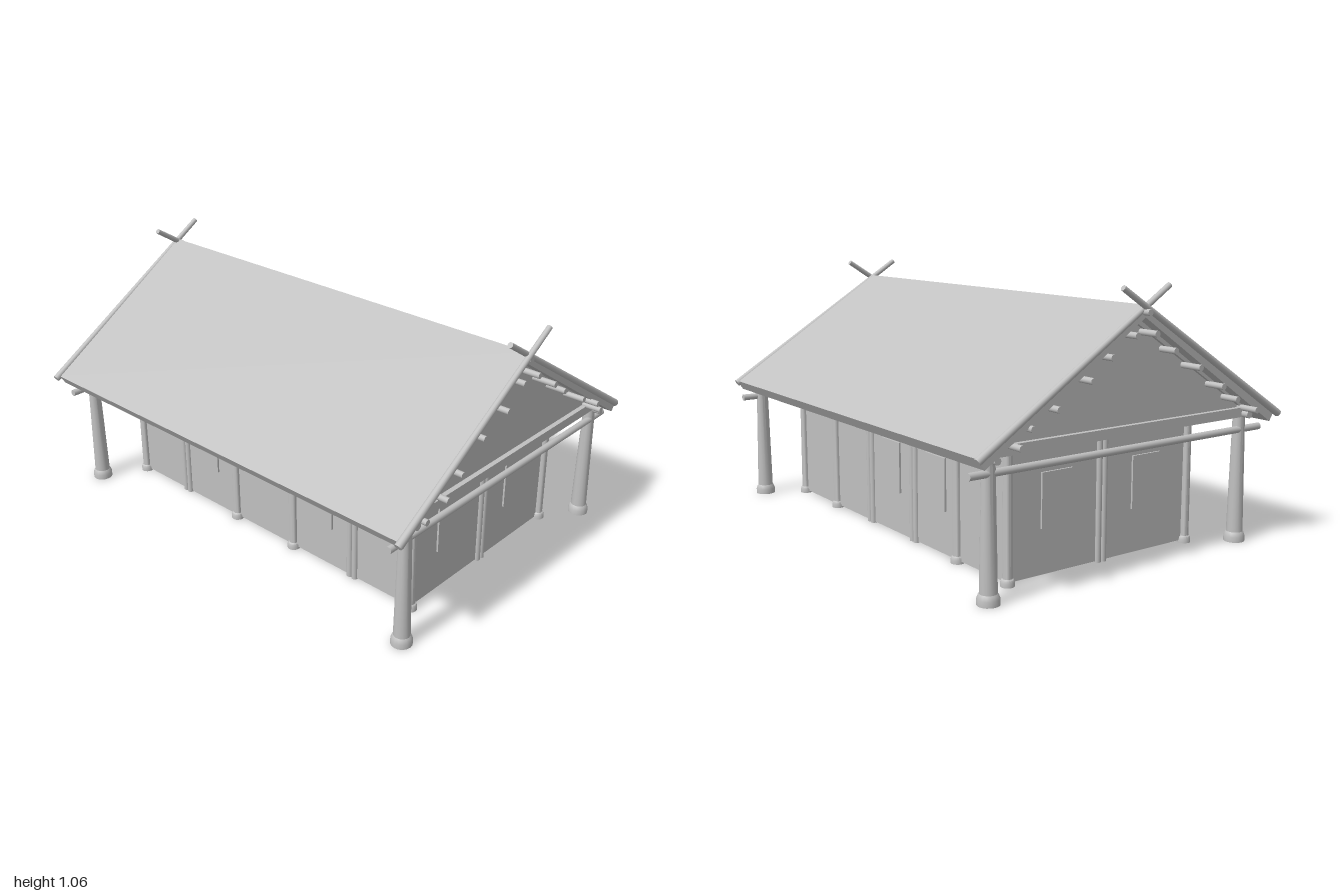
import * as THREE from 'three';
import { toCreasedNormals } from 'three/addons/utils/BufferGeometryUtils.js';

export function createModel() {
  const group = new THREE.Group();
  const clay = new THREE.MeshStandardMaterial({ color: 0xc0c0c0 });
  clay.name = 'plain grey';

  const add = (name, geometry, x = 0, y = 0, z = 0) => {
    const mesh = new THREE.Mesh(geometry, clay);
    mesh.name = name;
    mesh.position.set(x, y, z);
    group.add(mesh);
    return mesh;
  };

  // Round pole between two points
  const pole = (name, a, b, r, r2 = r) => {
    const from = new THREE.Vector3(...a), to = new THREE.Vector3(...b);
    const dir = to.clone().sub(from);
    const mesh = add(name, new THREE.CylinderGeometry(r2, r, dir.length(), 14));
    mesh.position.copy(from).add(to).multiplyScalar(0.5);
    mesh.quaternion.setFromUnitVectors(new THREE.Vector3(0, 1, 0), dir.normalize());
    return mesh;
  };

  // Cross-section given as [z, y] points, extruded along x
  const prism = (name, points, length, x = 0) => {
    const shape = new THREE.Shape(points.map(([z, y]) => new THREE.Vector2(z, y)));
    const g = new THREE.ExtrudeGeometry(shape, { depth: length, bevelEnabled: false });
    g.translate(0, 0, -length / 2).rotateY(-Math.PI / 2);
    return add(name, g, x);
  };

  // Turned post with a stepped foot
  const post = (name, x, z, height, top, shaft, foot, footHeight) => {
    const profile = [[0, 0], [foot, 0], [foot, footHeight * 0.6], [foot * 0.88, footHeight],
      [shaft, footHeight * 1.15], [top, height], [0, height]];
    const g = new THREE.LatheGeometry(profile.map(([r, y]) => new THREE.Vector2(r, y)), 16);
    add(name, toCreasedNormals(g, 0.6), x, 0, z);
  };

  // Hollow walls, open underneath
  const front = 0.41, back = -0.475, halfX = 0.79, t = 0.03, wallTop = 0.66;
  const midZ = (front + back) / 2, wallY = (wallTop + 0.01) / 2;
  for (const z of [front - t / 2, back + t / 2]) {
    add('longWall', new THREE.BoxGeometry(halfX * 2, wallTop - 0.01, t), 0, wallY, z);
  }
  for (const s of [-1, 1]) {
    add('endWall', new THREE.BoxGeometry(t, wallTop - 0.01, front - back - 2 * t),
      s * (halfX - t / 2), wallY, midZ);
  }

  // Window panels
  const paneT = 0.008;
  for (const x of [-0.35, 0.32]) {
    add('frontWindow', new THREE.BoxGeometry(0.14, 0.21, paneT), x, 0.287, front + paneT / 2);
  }
  for (const x of [0, -0.33]) {
    add('backWindow', new THREE.BoxGeometry(0.14, 0.21, paneT), x, 0.287, back - paneT / 2);
  }
  for (const s of [-1, 1]) for (const z of [0.187, -0.255]) {
    add('endWindow', new THREE.BoxGeometry(paneT, 0.21, 0.143), s * (halfX + paneT / 2), 0.29, z);
  }

  // Wall posts with feet, and paired half poles between them
  const wallPost = (x, z) => post('wallPost', x, z, 0.64, 0.017, 0.019, 0.027, 0.025);
  const wallPole = (x, z) => pole('wallPole', [x, 0.005, z], [x, 0.64, z], 0.013);
  for (const s of [-1, 1]) {
    for (const z of [front, back]) wallPost(s * halfX, z);
    wallPost(s * 0.17, front);
    wallPost(s * 0.475, back);
    for (const d of [-0.013, 0.013]) {
      wallPole(s * 0.495 + d, front);
      wallPole(s * 0.17 + d, back);
      wallPole(s * halfX, -0.037 + d);
    }
  }

  // Veranda posts at the four corners
  const postFront = 0.59, postBack = -0.635;
  for (const s of [-1, 1]) for (const z of [postFront, postBack]) {
    post('verandaPost', s * 0.895, z, 0.52, 0.024, 0.033, 0.042, 0.035);
  }

  // Beams under the eaves and across the ends
  pole('frontEaveBeam', [-0.95, 0.525, postFront], [0.95, 0.525, postFront], 0.015);
  pole('backEaveBeam', [-0.95, 0.508, postBack], [0.95, 0.508, postBack], 0.013);
  for (const s of [-1, 1]) {
    pole('crossPole', [s * 0.905, 0.46, 0.695], [s * 0.905, 0.46, -0.725], 0.014);
    add('tieBeam', new THREE.BoxGeometry(0.04, 0.038, 1.22), s * 0.9, 0.531, -0.01);
    // Short joists between the end wall and the tie beam
    for (let i = 0; i < 7; i++) {
      const z = back + 0.06 + i * 0.128;
      pole('joist', [s * 0.78, 0.535, z], [s * 0.9, 0.535, z], 0.012);
    }
  }

  // Gable panels and the rafters framing them
  for (const s of [-1, 1]) {
    prism('gablePanel', [[0.6, 0.545], [0, 0.945], [-0.6, 0.545]], 0.02, s * 0.89);
    prism('gableRafter', [[0.62, 0.545], [0, 0.95], [-0.62, 0.545], [-0.59, 0.545], [0, 0.925], [0.59, 0.545]],
      0.03, s * 0.9);
  }

  // Roof slabs meeting at the ridge
  prism('roof', [[0.715, 0.53], [0, 0.99], [-0.725, 0.53], [-0.7, 0.49], [0, 0.945], [0.69, 0.49]], 1.93);

  // Ridge pole and purlins, their ends slightly uneven
  const purlins = [[-0.005, 0.965], [0.04, 0.885], [0.145, 0.815], [0.26, 0.745], [0.395, 0.66], [0.485, 0.6],
    [0.58, 0.55], [-0.055, 0.885], [-0.16, 0.815], [-0.265, 0.745], [-0.405, 0.66], [-0.51, 0.605], [-0.57, 0.55]];
  purlins.forEach(([z, y], i) => {
    const uneven = (i % 3) * 0.008;
    pole(i ? 'purlin' : 'ridgePole', [-0.996 + uneven, y, z], [0.982 + uneven, y, z], 0.012);
  });

  // Crossed barge poles at both ends
  for (const s of [-1, 1]) for (const side of [-1, 1]) {
    const x = s * (0.967 + side * 0.006);
    pole('bargePole', [x, 0.52, side * 0.728], [x, 1.055, -side * 0.118], 0.015, 0.011);
  }

  return group;
}
